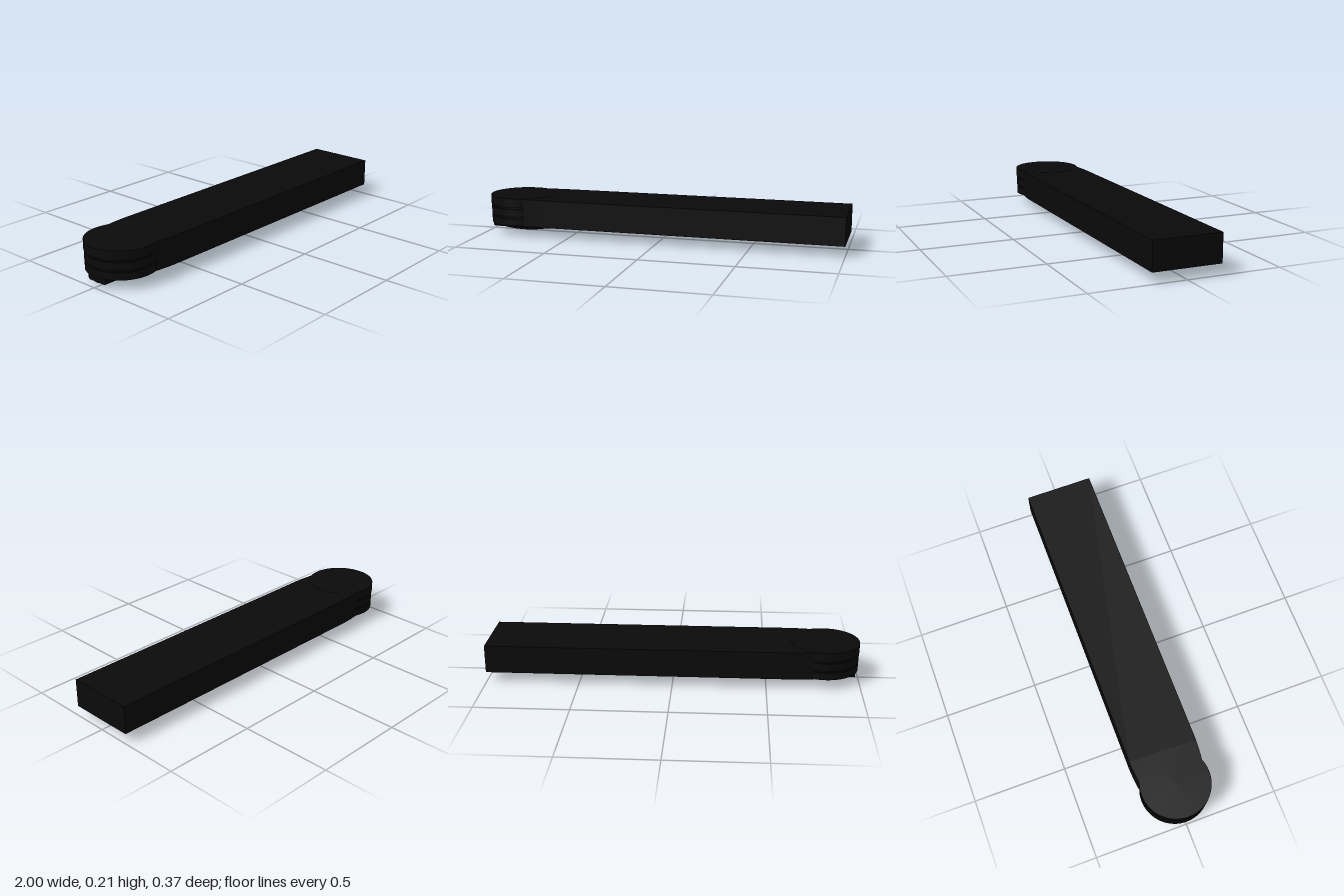
import * as THREE from 'three';

const HUB_X = -0.815, HUB_R = 0.185;
const BOTTOM = 0.058, TOP = 0.21;

export function createModel() {
  const model = new THREE.Group();
  const material = new THREE.MeshStandardMaterial({ color: 0x0a0a0a });

  const add = (name, geometry) => {
    const mesh = new THREE.Mesh(geometry, material);
    mesh.name = name;
    model.add(mesh);
    return mesh;
  };

  // Long flat bar with a slightly pinched neck that runs into the hub
  const outline = new THREE.Shape();
  outline.moveTo(1, -0.183);
  outline.lineTo(1, 0.183);
  outline.lineTo(-0.63, 0.183);
  outline.quadraticCurveTo(-0.69, 0.181, -0.75, 0.173);
  outline.lineTo(-0.75, -0.173);
  outline.quadraticCurveTo(-0.69, -0.181, -0.63, -0.183);
  const bar = new THREE.ExtrudeGeometry(outline, {
    depth: TOP - 0.001 - BOTTOM, bevelEnabled: false, curveSegments: 10,
  });
  bar.rotateX(-Math.PI / 2).translate(0, BOTTOM, 0);
  add('bar', bar);

  // Round hub: stacked discs separated by two shallow grooves
  const hub = new THREE.Group();
  hub.name = 'hub';
  model.add(hub);
  const layers = [
    [BOTTOM, 0.098, HUB_R - 0.003],
    [0.098, 0.108, HUB_R - 0.012],
    [0.108, 0.150, HUB_R - 0.002],
    [0.150, 0.160, HUB_R - 0.012],
    [0.160, TOP, HUB_R],
  ];
  layers.forEach(([y0, y1, r], i) => {
    const disc = add(i % 2 ? 'hubGroove' : 'hubDisc', new THREE.CylinderGeometry(r, r, y1 - y0, 64));
    disc.position.set(HUB_X, (y0 + y1) / 2, 0);
    hub.add(disc);
  });

  // Chamfered clip plate under the hub
  const section = new THREE.Shape([
    [-0.061, 0.07], [-0.061, 0.032], [-0.053, 0.024],
    [0.053, 0.024], [0.061, 0.032], [0.061, 0.07],
  ].map(([z, y]) => new THREE.Vector2(z, y)));
  const plate = new THREE.ExtrudeGeometry(section, { depth: 0.33, bevelEnabled: false });
  plate.rotateY(Math.PI / 2).translate(-0.98, 0, 0);
  add('clipPlate', plate);

  // Half-round rib along the clip, bowed downwards in the middle
  const rib = new THREE.CylinderGeometry(0.04, 0.04, 0.33, 32, 16);
  rib.rotateZ(Math.PI / 2);
  const p = rib.attributes.position;
  for (let i = 0; i < p.count; i++) {
    const t = p.getX(i) / 0.165;
    p.setY(i, p.getY(i) + 0.02 * t * t);
  }
  rib.computeVertexNormals();
  rib.translate(HUB_X, 0.041, 0);
  add('clipRib', rib);

  return model;
}
